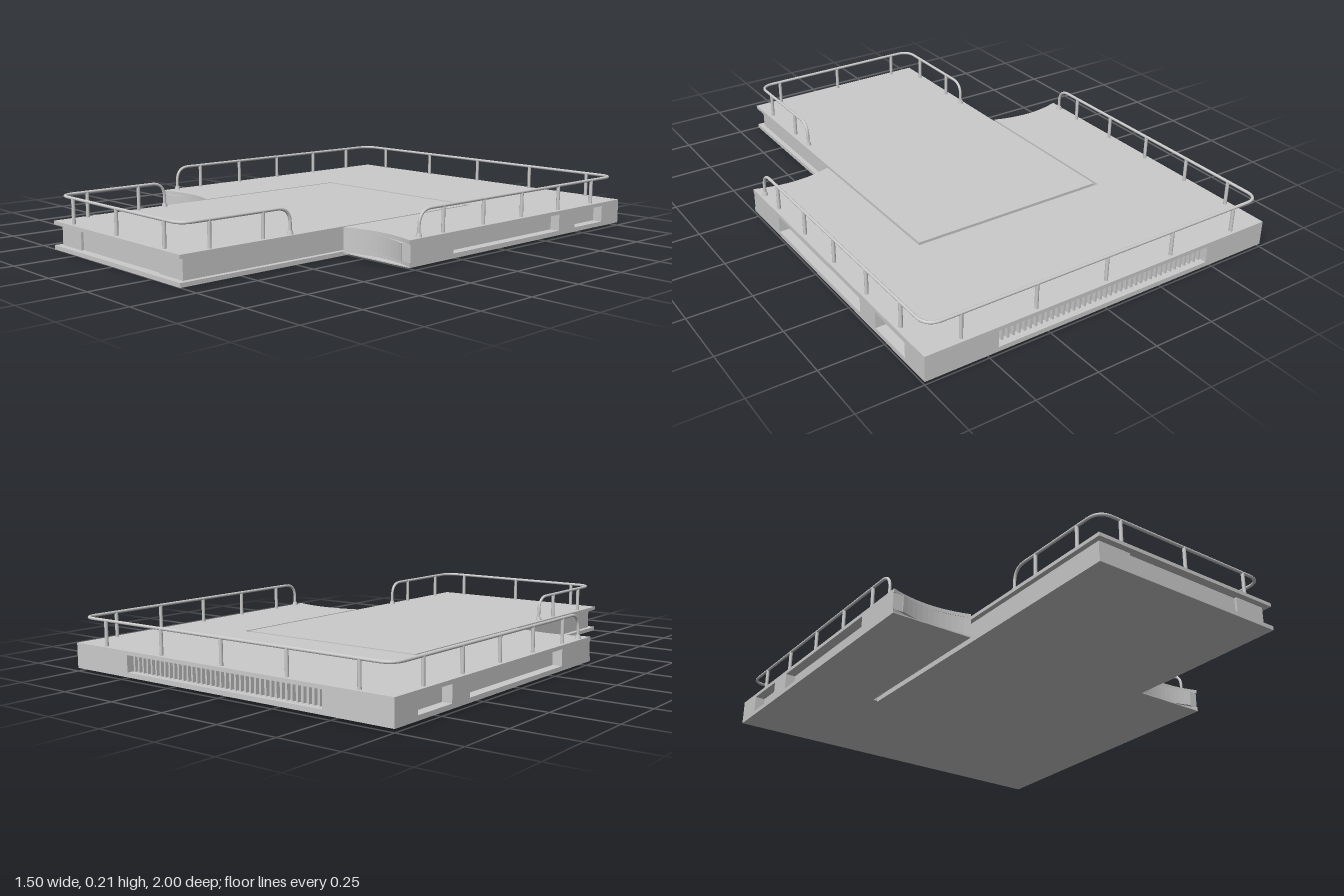
import * as THREE from 'three';

const mat = new THREE.MeshStandardMaterial({ color: 0xcccccc });
const V = (x, y, z) => new THREE.Vector3(x, y, z);
const DECK = 0.11, RAIL = 0.207;

function add(group, name, geo) {
  const m = new THREE.Mesh(geo, mat);
  m.name = name;
  group.add(m);
  return m;
}

// Box given by its minimum and maximum corners
function block(group, name, x0, x1, y0, y1, z0, z1) {
  add(group, name, new THREE.BoxGeometry(x1 - x0, y1 - y0, z1 - z0))
    .position.set((x0 + x1) / 2, (y0 + y1) / 2, (z0 + z1) / 2);
}

// U-shaped slab; inset shrinks the outer sides, dip hollows the wing ends
function uSlab(y0, y1, inset, dip) {
  const X = 0.75 - inset, B = 1 - inset, F = -0.28, N = 0.42;
  const mid = (X + N) / 2;
  const s = new THREE.Shape();
  s.moveTo(-X, B);
  s.lineTo(-X, F);
  s.quadraticCurveTo(-mid, F + 2 * dip, -N, F);
  s.lineTo(-N, 0.435);
  s.lineTo(N, 0.435);
  s.lineTo(N, F);
  s.quadraticCurveTo(mid, F + 2 * dip, X, F);
  s.lineTo(X, B);
  s.closePath();
  const g = new THREE.ExtrudeGeometry(s, { depth: y1 - y0, bevelEnabled: false, curveSegments: 12 });
  return g.rotateX(-Math.PI / 2).translate(0, y0, 0);
}

// Handrail through corner points, each inner corner rounded by radius r
function rail(group, name, pts, r) {
  const path = new THREE.CurvePath();
  let from = pts[0];
  for (let i = 1; i < pts.length - 1; i++) {
    const p = pts[i];
    const a = p.clone().add(pts[i - 1].clone().sub(p).setLength(r));
    const b = p.clone().add(pts[i + 1].clone().sub(p).setLength(r));
    path.add(new THREE.LineCurve3(from, a));
    path.add(new THREE.QuadraticBezierCurve3(a, p, b));
    from = b;
  }
  path.add(new THREE.LineCurve3(from, pts[pts.length - 1]));
  add(group, name, new THREE.TubeGeometry(path, 300, 0.006, 10));
}

function foot(group, x, z) {
  add(group, 'railFoot', new THREE.CylinderGeometry(0.009, 0.012, 0.014, 12)).position.set(x, DECK + 0.007, z);
}

function post(group, x, z) {
  const h = RAIL - DECK;
  add(group, 'railPost', new THREE.CylinderGeometry(0.007, 0.007, h, 12)).position.set(x, DECK + h / 2, z);
}

// Railing along both sides and one end, with its open ends turned down
function railing(x, zOpen, zEnd, sidePosts, endPosts) {
  const g = new THREE.Group();
  rail(g, 'handrail', [
    V(-x, DECK, zOpen), V(-x, RAIL, zOpen), V(-x, RAIL, zEnd),
    V(x, RAIL, zEnd), V(x, RAIL, zOpen), V(x, DECK, zOpen),
  ], 0.06);
  for (const s of [-1, 1]) {
    foot(g, s * x, zOpen);
    sidePosts.forEach((z) => post(g, s * x, z));
  }
  endPosts.forEach((px) => post(g, px, zEnd));
  return g;
}

function createBase() {
  const g = new THREE.Group();
  g.name = 'basePlatform';
  const lo = 0.03, hi = 0.095, depth = 0.04;
  add(g, 'baseDeck', uSlab(hi, DECK, 0, 0.03));
  add(g, 'baseCore', uSlab(lo, hi, depth, 0.03));
  add(g, 'baseFloor', uSlab(0.016, lo, 0, 0.03));
  add(g, 'baseSole', uSlab(0.012, 0.016, 0, 0));

  // Outer walls, leaving recessed openings between them
  for (const s of [-1, 1]) {
    for (const [z0, z1] of [[0.05, 0.275], [-0.69, -0.585], [-1, -0.88]]) {
      const a = s * 0.75, b = s * (0.75 - depth);
      block(g, 'sideWall', Math.min(a, b), Math.max(a, b), lo, hi, z0, z1);
    }
    const c = s * 0.465, d = s * 0.71;
    block(g, 'backWall', Math.min(c, d), Math.max(c, d), lo, hi, -1, -1 + depth);
  }

  // Fine ribs at the bottom of the back recess
  for (let i = 0; i < 40; i++) {
    const x = -0.455 + i * 0.91 / 39;
    block(g, 'grilleRib', x - 0.004, x + 0.004, lo, hi, -0.975, -0.955);
  }

  const r = railing(0.73, 0.212, -0.98, [0.085, -0.138, -0.366, -0.6, -0.825], [-0.6, -0.3, 0, 0.3, 0.6]);
  r.name = 'baseRailing';
  g.add(r);
  return g;
}

function createSlide() {
  const g = new THREE.Group();
  g.name = 'slidingPlatform';
  const X = 0.41, B = -0.42;
  block(g, 'slideDeck', -X, X, 0.096, DECK, B, 1);
  block(g, 'slideFloor', -X, X, 0, 0.016, B, 1);
  // Body set back between the plates, with a recessed front panel
  block(g, 'slideBody', -0.39, 0.39, 0.016, 0.096, B + 0.01, 0.965);
  for (const s of [-1, 1]) {
    block(g, 'frontPanel', s < 0 ? -0.39 : 0.255, s < 0 ? -0.255 : 0.39, 0.016, 0.096, 0.96, 0.975);
  }

  const r = railing(0.39, 0.512, 0.98, [0.635, 0.865], [-0.295, 0, 0.295]);
  r.name = 'slideRailing';
  g.add(r);
  return g;
}

export function createModel() {
  const model = new THREE.Group();
  model.name = 'platform';
  model.add(createBase(), createSlide());
  return model;
}
